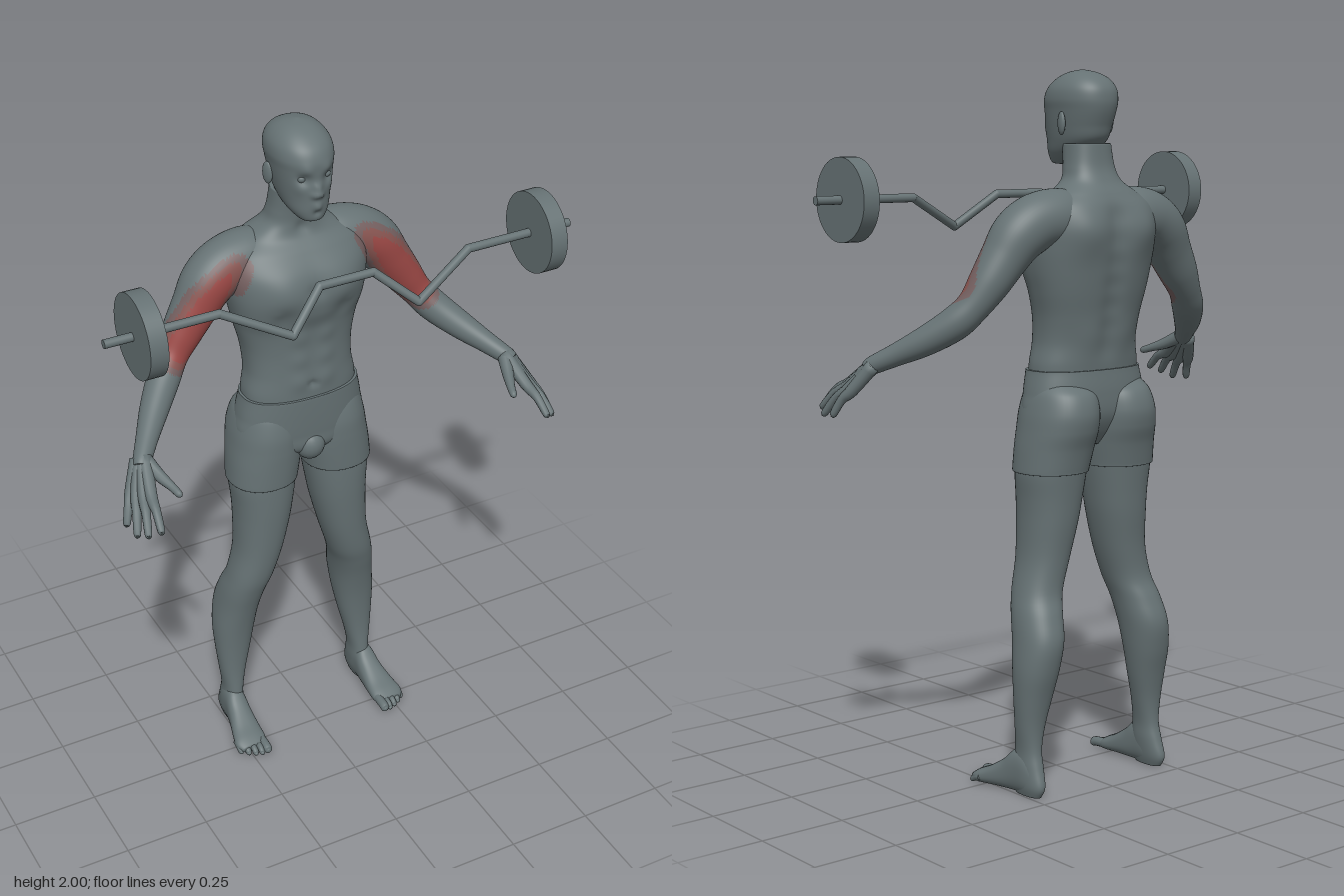
import * as THREE from 'three';

const V = (x, y, z) => new THREE.Vector3(x, y, z);
const mat = (name, color) => new THREE.MeshStandardMaterial({ name, color });

// Smooth interpolation through rows of numbers, t from 0 to 1
function sample(rows, t) {
  const n = rows.length - 1, f = Math.min(t * n, n - 1e-6), i = Math.floor(f), u = f - i;
  const at = k => rows[Math.max(0, Math.min(n, k))];
  return rows[i].map((_, c) => {
    const [a, b, d, e] = [at(i - 1)[c], at(i)[c], at(i + 1)[c], at(i + 2)[c]];
    return b + 0.5 * u * (d - a + u * (2 * a - 5 * b + 4 * d - e + u * (3 * (b - d) + e - a)));
  });
}

// Closed smooth skin over a list of rings, mirrored by s, always wound outwards
function skin(rings, s = 1) {
  const m = rings[0].length, n = rings.length, pts = rings.flat(), idx = [];
  const mid = r => r.reduce((a, p) => a.add(p), V(0, 0, 0)).divideScalar(m);
  pts.push(mid(rings[0]), mid(rings[n - 1]));
  for (let j = 0; j < m; j++) {
    const k = (j + 1) % m;
    for (let i = 0; i < n - 1; i++) {
      const a = i * m + j, b = i * m + k;
      idx.push(a, b, b + m, a, b + m, a + m);
    }
    idx.push(n * m, k, j, n * m + 1, (n - 1) * m + j, (n - 1) * m + k);
  }
  pts.forEach(p => { p.x *= s; });
  let vol = 0;
  for (let i = 0; i < idx.length; i += 3) {
    vol += pts[idx[i]].dot(V(0, 0, 0).crossVectors(pts[idx[i + 1]], pts[idx[i + 2]]));
  }
  if (vol < 0) idx.reverse();
  const g = new THREE.BufferGeometry().setFromPoints(pts);
  g.setIndex(idx);
  g.computeVertexNormals();
  return g;
}

// Rows are [t, xMin, xMax, bMin, bMax]; t runs along y (b is z) or along z (b is y)
// Bumps are [x, y, z, radius, push along z], applied on both sides
function loft(rows, { axis = 'y', n = 48, steps = 50, power = 2.2, bumps = [], s = 1 } = {}) {
  const rings = [];
  for (let i = 0; i <= steps; i++) {
    const [t, x0, x1, b0, b1] = sample(rows, i / steps), ring = [];
    for (let j = 0; j < n; j++) {
      const a = j / n * Math.PI * 2, c = Math.cos(a), d = Math.sin(a);
      const x = (x0 + x1) / 2 + (x1 - x0) / 2 * Math.sign(c) * Math.abs(c) ** (2 / power);
      const b = (b0 + b1) / 2 + (b1 - b0) / 2 * Math.sign(d) * Math.abs(d) ** (2 / power);
      const p = axis === 'y' ? V(x, t, b) : V(x, b, t);
      let push = 0;
      for (const [bx, by, bz, r, amount] of bumps) {
        const q = (Math.abs(p.x) - bx) ** 2 + (p.y - by) ** 2 + (p.z - bz) ** 2;
        push += amount * Math.exp(-q / (r * r));
      }
      p.z += push;
      ring.push(p);
    }
    rings.push(ring);
  }
  return skin(rings, s);
}

// Round limb along rows of [x, y, z, radius]
function limb(rows, s = 1, n = 12, steps = 16) {
  const rings = [], ref = V(1, 1, 0);
  for (let i = 0; i <= steps; i++) {
    const t = i / steps, [x, y, z, r] = sample(rows, t);
    const [ax, ay, az] = sample(rows, Math.max(0, t - 0.01)), [bx, by, bz] = sample(rows, Math.min(1, t + 0.01));
    const dir = V(bx - ax, by - ay, bz - az).normalize();
    const u = V(0, 0, 0).crossVectors(dir, ref).normalize(), w = V(0, 0, 0).crossVectors(dir, u);
    rings.push(Array.from({ length: n }, (_, j) => {
      const a = j / n * Math.PI * 2;
      return V(x, y, z).addScaledVector(u, r * Math.cos(a)).addScaledVector(w, r * Math.sin(a));
    }));
  }
  return skin(rings, s);
}

// Sort faces into colour groups: 0 grey, then faint to strong red near the front of the upper arm
function tint(g) {
  const pos = g.attributes.position, idx = Array.from(g.index.array), sets = [[], [], [], []];
  const line = new THREE.Line3(V(0.2, 1.63, -0.055), V(0.365, 1.415, -0.08));
  const c = V(0, 0, 0), q = V(0, 0, 0);
  for (let i = 0; i < idx.length; i += 3) {
    c.set(0, 0, 0);
    for (let k = 0; k < 3; k++) c.add(q.fromBufferAttribute(pos, idx[i + k]));
    c.divideScalar(3);
    c.x = Math.abs(c.x);
    const t = line.closestPointToPointParameter(c, true);
    const k = line.at(t, q).distanceTo(c) / 0.08 + 0.4 * Math.max(0, 1 - 2 * t);
    sets[k < 0.55 ? 3 : k < 0.78 ? 2 : k < 1 ? 1 : 0].push(idx[i], idx[i + 1], idx[i + 2]);
  }
  g.setIndex(sets.flat());
  let start = 0;
  sets.forEach((f, i) => { g.addGroup(start, f.length, i); start += f.length; });
  return g;
}

export function createModel() {
  const root = new THREE.Group();
  root.name = 'liftingFigure';
  const grey = mat('slate grey', 0x667274);
  const muscle = [grey, mat('faint red', 0x745f5f), mat('soft red', 0x875450), mat('muscle red', 0x994744)];
  const add = (name, geo, m = grey, parent = root) => {
    const mesh = new THREE.Mesh(geo, m);
    mesh.name = name;
    parent.add(mesh);
    return mesh;
  };
  const ball = (name, x, y, z, sx, sy, sz) => {
    const b = add(name, new THREE.SphereGeometry(1, 20, 14));
    b.position.set(x, y, z);
    b.scale.set(sx, sy, sz);
    return b;
  };
  const sym = rows => rows.map(([t, w, f, b]) => [t, -w, w, b, f]);

  // Torso and neck, with chest, shoulder blades, spine and belly muscles
  const bumps = [
    [0.09, 1.54, 0, 0.065, 0.012], [0.09, 1.455, -0.01, 0.035, -0.009], [0, 1.53, 0, 0.022, -0.008],
    [0.115, 1.475, 0, 0.012, 0.006], [0, 1.225, -0.018, 0.011, -0.01],
    [0.1, 1.57, -0.265, 0.065, -0.018], [0.06, 1.27, -0.22, 0.05, -0.006], [0, 1.69, -0.085, 0.02, -0.008]];
  for (const y of [1.24, 1.31, 1.38]) bumps.push([0.04, y, -0.02, 0.03, 0.006]);
  for (const y of [1.24, 1.3, 1.36, 1.42, 1.48, 1.54, 1.6]) bumps.push([0, y, -0.25, 0.035, 0.009]);
  add('torso', tint(loft(sym([
    [1.15, 0.17, -0.02, -0.21], [1.2, 0.17, -0.02, -0.215], [1.26, 0.16, -0.022, -0.22], [1.33, 0.164, -0.024, -0.235],
    [1.4, 0.18, -0.02, -0.25], [1.46, 0.195, -0.002, -0.26], [1.52, 0.205, 0.002, -0.266], [1.58, 0.208, -0.012, -0.265],
    [1.63, 0.19, -0.045, -0.255], [1.665, 0.14, -0.075, -0.238], [1.7, 0.088, -0.082, -0.215],
    [1.74, 0.073, -0.08, -0.198], [1.8, 0.066, -0.07, -0.19]]), { n: 112, steps: 110, power: 2.4, bumps })), muscle);

  // Head with sculpted face
  add('head', loft(sym([
    [1.743, 0.02, -0.012, -0.05], [1.75, 0.036, 0, -0.08], [1.775, 0.056, 0.005, -0.135], [1.81, 0.068, 0.006, -0.185],
    [1.85, 0.076, 0.007, -0.202], [1.89, 0.082, 0.009, -0.216], [1.92, 0.086, 0.008, -0.22], [1.95, 0.081, -0.006, -0.214],
    [1.975, 0.064, -0.035, -0.192], [1.992, 0.038, -0.07, -0.155], [2.0, 0.004, -0.107, -0.115]]), {
    n: 88, steps: 90, bumps: [
      [0.036, 1.872, 0, 0.018, -0.012], [0.032, 1.896, 0.005, 0.018, 0.005], [0, 1.83, 0.015, 0.014, 0.02],
      [0, 1.85, 0.012, 0.013, 0.01], [0.013, 1.826, 0.01, 0.009, 0.007], [0, 1.797, 0.01, 0.014, 0.007],
      [0, 1.786, 0.01, 0.012, 0.005], [0, 1.773, 0.005, 0.01, -0.006], [0.05, 1.845, -0.01, 0.02, 0.004]] }));

  // Pelvis of the shorts
  add('shortsSeat', loft(sym([
    [1.184, 0.178, -0.012, -0.219], [1.175, 0.179, -0.011, -0.22], [1.12, 0.19, -0.012, -0.225], [1.06, 0.195, -0.015, -0.222],
    [1.01, 0.14, -0.02, -0.2], [0.97, 0.04, -0.06, -0.17]]), { n: 64, power: 2.4 }));
  ball('shortsFront', 0, 1.015, -0.045, 0.045, 0.05, 0.045);

  for (const s of [1, -1]) {
    const side = s > 0 ? 'left' : 'right';
    const opt = { s, steps: 70 };

    // Leg and shorts leg: y, inner x, outer x, back z, front z
    add(side + 'ShortsLeg', loft([
      [1.15, 0.04, 0.17, -0.2, -0.04], [1.12, 0.01, 0.188, -0.24, -0.025], [1.07, 0.002, 0.202, -0.257, -0.014],
      [1.02, 0.001, 0.21, -0.252, -0.012], [0.97, 0.005, 0.217, -0.236, -0.013], [0.915, 0.014, 0.222, -0.224, -0.015],
      [0.903, 0.016, 0.222, -0.222, -0.016]], opt));
    add(side + 'Leg', loft([
      [0.95, 0.016, 0.21, -0.22, -0.025], [0.9, 0.021, 0.216, -0.215, -0.022], [0.83, 0.032, 0.21, -0.207, -0.022],
      [0.76, 0.045, 0.208, -0.2, -0.025], [0.66, 0.07, 0.212, -0.188, -0.032], [0.57, 0.098, 0.232, -0.188, -0.042],
      [0.51, 0.117, 0.247, -0.212, -0.057], [0.44, 0.13, 0.258, -0.234, -0.076], [0.36, 0.142, 0.267, -0.225, -0.092],
      [0.28, 0.157, 0.265, -0.205, -0.101], [0.2, 0.176, 0.258, -0.19, -0.104], [0.13, 0.19, 0.25, -0.188, -0.1],
      [0.08, 0.192, 0.252, -0.2, -0.095], [0.03, 0.198, 0.252, -0.214, -0.09], [0.0, 0.206, 0.245, -0.2, -0.1]], opt));

    // Foot: z, inner x, outer x, sole, top
    add(side + 'Foot', loft([
      [-0.2, 0.21, 0.242, 0.005, 0.06], [-0.16, 0.196, 0.255, 0, 0.12], [-0.11, 0.194, 0.26, 0, 0.125],
      [-0.07, 0.192, 0.267, 0, 0.092], [-0.02, 0.19, 0.28, 0, 0.06], [0.02, 0.19, 0.288, 0, 0.042],
      [0.045, 0.2, 0.275, 0.005, 0.028]], { axis: 'z', s, steps: 30, power: 2.4 }));
    for (let i = 0; i < 5; i++) {
      const x = 0.205 + i * 0.0185, z = 0.078 - i * i * 0.0022, r = i ? 0.0095 : 0.014;
      add(side + 'Toe', limb([[x, 0.022, 0, r], [x, 0.019, z - 0.025, r], [x, r, z - 0.007, r * 0.9], [x, r, z, r * 0.3]], s));
    }

    // Arm, its front tinted over the shoulder and biceps
    add(side + 'Arm', tint(limb([
      [0.08, 1.605, -0.16, 0.07], [0.14, 1.603, -0.16, 0.079], [0.205, 1.59, -0.155, 0.078], [0.257, 1.555, -0.148, 0.075],
      [0.3, 1.497, -0.14, 0.065], [0.345, 1.432, -0.132, 0.056], [0.385, 1.375, -0.118, 0.046],
      [0.425, 1.328, -0.088, 0.046], [0.48, 1.28, -0.03, 0.04], [0.53, 1.242, 0.032, 0.031], [0.57, 1.212, 0.085, 0.025],
      [0.58, 1.203, 0.1, 0.02]], s, 48, 90)), muscle);

    // Hand: fingers run from the wrist through the knuckles to the tips
    const fingers = [
      [[0.585, 1.158, 0.17], [0.6, 1.1, 0.27]], [[0.6, 1.152, 0.157], [0.63, 1.085, 0.25]],
      [[0.613, 1.146, 0.138], [0.648, 1.07, 0.215]], [[0.62, 1.143, 0.115], [0.655, 1.073, 0.16]]];
    fingers.forEach(([k, p], i) => {
      const mix = (t, lift) => k.map((v, c) => v + (p[c] - v) * t + (c === 1 ? lift : 0));
      add(side + 'Finger', limb([
        [0.562 + i * 0.006, 1.22 - i * 0.003, 0.085 - i * 0.004, 0.02], [...k, 0.017], [...mix(0.5, 0.01), 0.0125],
        [...mix(0.93, 0), 0.01], [...p, 0.003]], s));
    });
    add(side + 'Thumb', limb([
      [0.562, 1.215, 0.085, 0.02], [0.545, 1.188, 0.135, 0.017], [0.528, 1.172, 0.18, 0.012], [0.52, 1.163, 0.208, 0.01],
      [0.518, 1.16, 0.217, 0.003]], s));

    // Ear and eye
    ball(side + 'Ear', s * 0.083, 1.855, -0.122, 0.009, 0.032, 0.018).rotation.y = s * -0.3;
    ball(side + 'Eye', s * 0.036, 1.872, -0.018, 0.013, 0.011, 0.012);

    // Weight plate
    const plate = add(side + 'WeightPlate', new THREE.CylinderGeometry(0.115, 0.115, 0.05, 48));
    plate.rotation.z = Math.PI / 2;
    plate.position.set(s * 0.587, 1.652, 0.17);
  }

  // Cranked bar
  const half = [[0.08, 1.655, 0.168], [0.188, 1.565, 0.225], [0.37, 1.652, 0.17], [0.69, 1.652, 0.17]];
  const path = [...half.map(([x, y, z]) => V(-x, y, z)).reverse(), ...half.map(p => V(...p))];
  const bar = new THREE.Group();
  bar.name = 'crankedBar';
  root.add(bar);
  path.slice(1).forEach((b, i) => {
    const a = path[i], dir = b.clone().sub(a);
    const rod = add('barSection', new THREE.CylinderGeometry(0.012, 0.012, dir.length(), 20), grey, bar);
    rod.position.copy(a).add(b).multiplyScalar(0.5);
    rod.quaternion.setFromUnitVectors(V(0, 1, 0), dir.normalize());
    if (i < path.length - 2) add('barBend', new THREE.SphereGeometry(0.012, 16, 12), grey, bar).position.copy(b);
  });
  return root;
}
